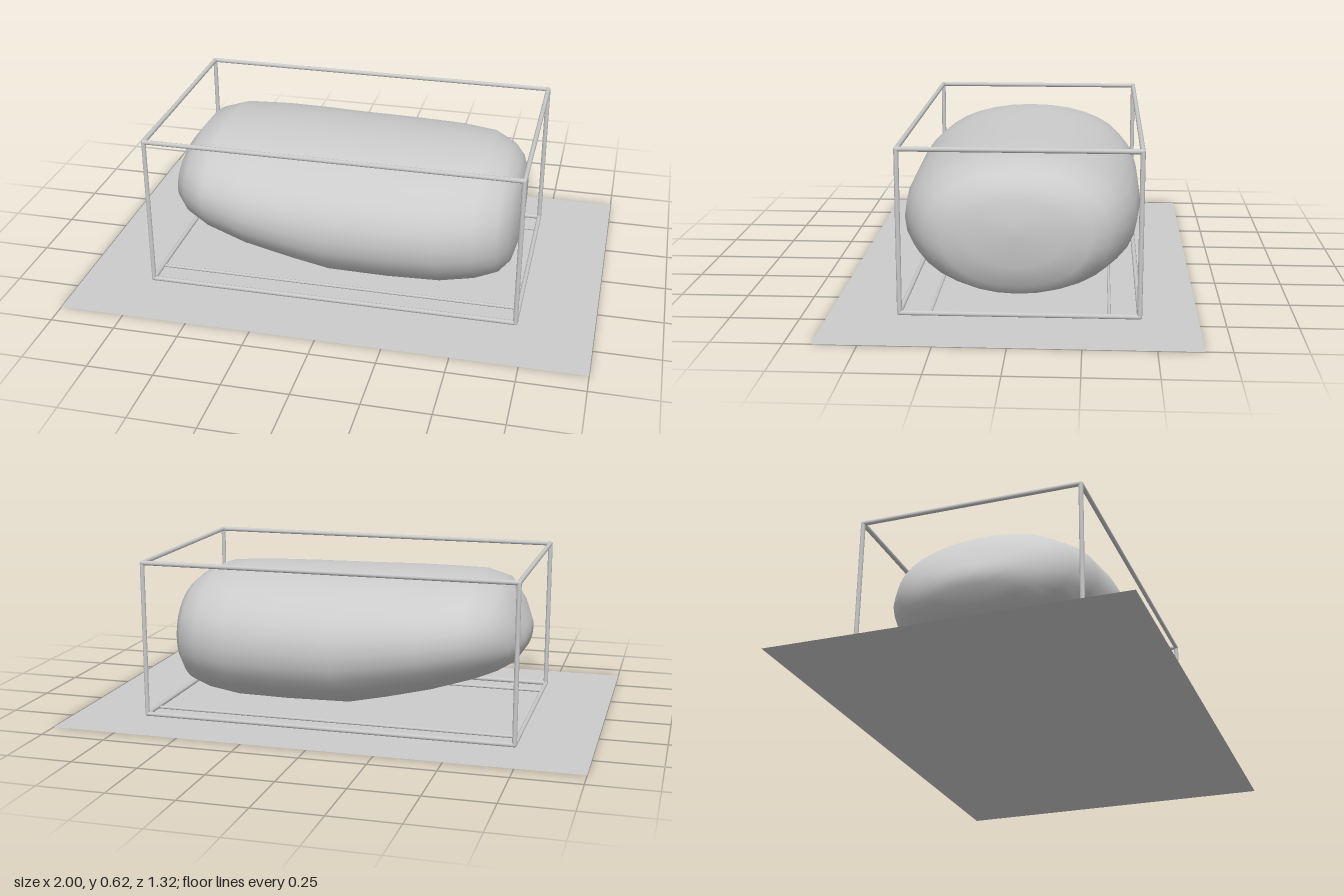
import * as THREE from 'three';

const material = new THREE.MeshStandardMaterial({ color: 0xcccccc });

// Rounded body lofted along x; each station is [x, bottom, top, half width]
function bodyGeometry() {
  const stations = [
    [-0.706, 0.32, 0.34, 0.01], [-0.7, 0.285, 0.375, 0.12], [-0.66, 0.225, 0.46, 0.245],
    [-0.6, 0.19, 0.535, 0.34], [-0.51, 0.155, 0.558, 0.4], [-0.35, 0.105, 0.56, 0.438],
    [-0.18, 0.063, 0.56, 0.45], [-0.03, 0.03, 0.558, 0.452], [0.2, 0.025, 0.556, 0.448],
    [0.4, 0.025, 0.553, 0.43], [0.53, 0.04, 0.545, 0.39], [0.61, 0.062, 0.51, 0.335],
    [0.65, 0.1, 0.475, 0.27], [0.673, 0.18, 0.42, 0.18], [0.682, 0.29, 0.33, 0.02],
  ];
  const sides = 32, position = [], index = [];
  const rounded = (v) => Math.sign(v) * Math.abs(v) ** 0.95;
  for (const [x, bottom, top, halfWidth] of stations) {
    for (let j = 0; j < sides; j++) {
      const a = (j / sides) * Math.PI * 2;
      position.push(
        x,
        (top + bottom) / 2 + rounded(Math.sin(a)) * (top - bottom) / 2,
        -0.01 + rounded(Math.cos(a)) * halfWidth
      );
    }
  }
  for (let i = 0; i < stations.length - 1; i++) {
    for (let j = 0; j < sides; j++) {
      const k = (j + 1) % sides;
      const a = i * sides + j, b = a + sides, c = i * sides + k, d = c + sides;
      index.push(a, b, c, b, d, c);
    }
  }
  // Close both ends
  const last = (stations.length - 1) * sides;
  for (let j = 1; j < sides - 1; j++) {
    index.push(0, j, j + 1, last, last + j + 1, last + j);
  }
  const geometry = new THREE.BufferGeometry();
  geometry.setAttribute('position', new THREE.Float32BufferAttribute(position, 3));
  geometry.setIndex(index);
  geometry.computeVertexNormals();
  return geometry;
}

// Thin round rod between two points
function rod(name, from, to, radius) {
  const a = new THREE.Vector3(...from), b = new THREE.Vector3(...to);
  const direction = b.clone().sub(a);
  const mesh = new THREE.Mesh(
    new THREE.CylinderGeometry(radius, radius, direction.length(), 8), material);
  mesh.name = name;
  mesh.position.copy(a).add(b).multiplyScalar(0.5);
  mesh.quaternion.setFromUnitVectors(new THREE.Vector3(0, 1, 0), direction.normalize());
  return mesh;
}

// Box cage of rods, with two slimmer rails lying along the floor
function cage() {
  const group = new THREE.Group();
  group.name = 'cage';
  const xs = [-0.72, 0.708], ys = [0.016, 0.609], zs = [-0.449, 0.4], r = 0.009;
  for (const y of ys) for (const z of zs) group.add(rod('longRod', [xs[0], y, z], [xs[1], y, z], r));
  for (const x of xs) for (const z of zs) group.add(rod('cornerPost', [x, ys[0], z], [x, ys[1], z], r));
  for (const x of xs) for (const y of ys) group.add(rod('crossRod', [x, y, zs[0]], [x, y, zs[1]], r));
  for (const x of xs) for (const y of ys) for (const z of zs) {
    const joint = new THREE.Mesh(new THREE.SphereGeometry(r, 8, 6), material);
    joint.name = 'cornerJoint';
    joint.position.set(x, y, z);
    group.add(joint);
  }
  for (const z of [-0.343, 0.292]) {
    group.add(rod('floorRail', [xs[0], 0.012, z], [xs[1], 0.012, z], 0.006));
  }
  return group;
}

export function createModel() {
  const model = new THREE.Group();
  model.name = 'cagedBody';

  const body = new THREE.Mesh(bodyGeometry(), material);
  body.name = 'roundedBody';
  model.add(body);

  model.add(cage());

  // Flat sheet under everything
  const sheetMaterial = material.clone();
  sheetMaterial.side = THREE.DoubleSide;
  const sheet = new THREE.Mesh(new THREE.PlaneGeometry(2, 1.315), sheetMaterial);
  sheet.name = 'baseSheet';
  sheet.rotation.x = -Math.PI / 2;
  model.add(sheet);

  return model;
}
